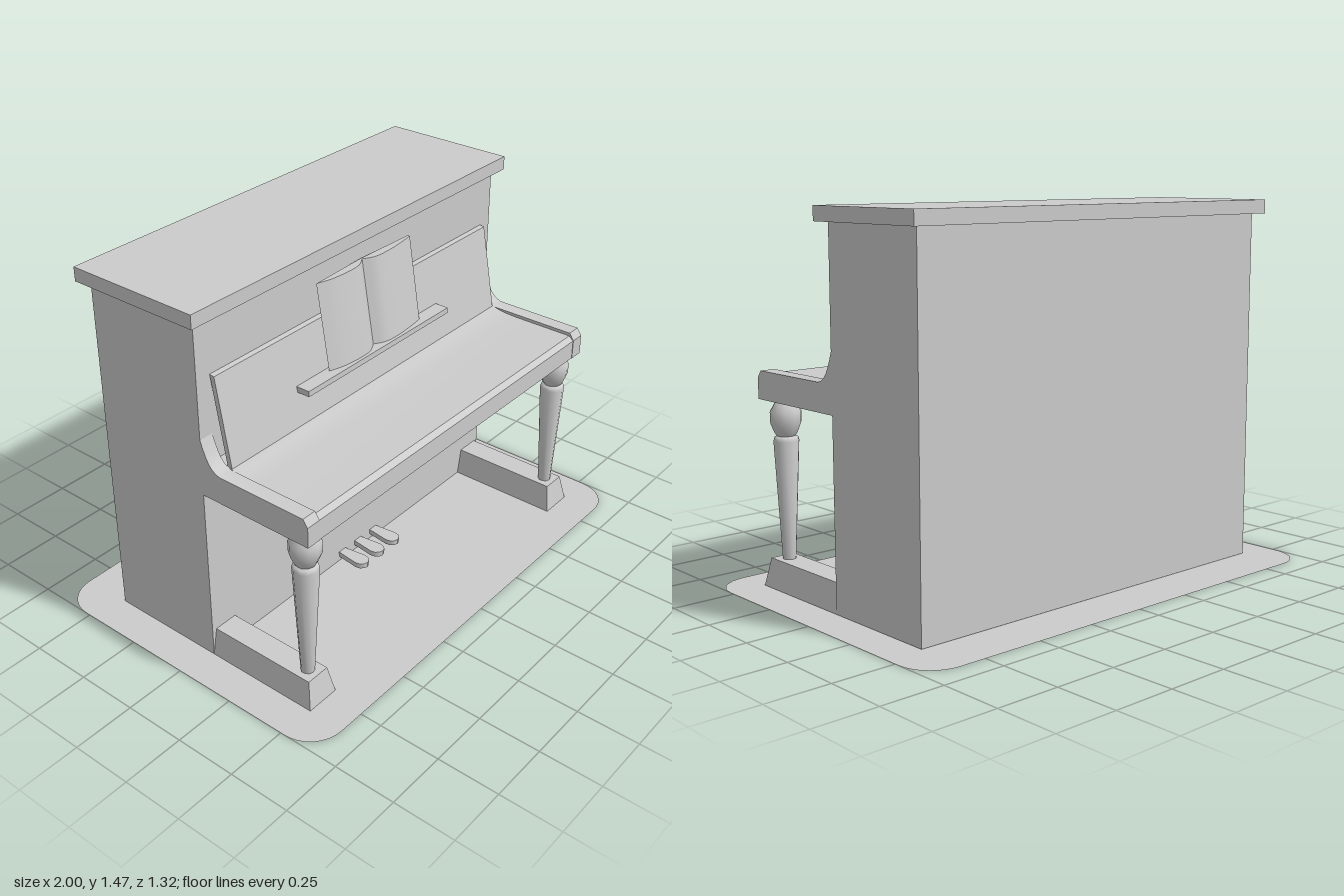
import * as THREE from 'three';
import { toCreasedNormals } from 'three/addons/utils/BufferGeometryUtils.js';

const grey = new THREE.MeshStandardMaterial({ color: 0xcccccc });
const greyThin = new THREE.MeshStandardMaterial({ color: 0xcccccc, side: THREE.DoubleSide });

export function createModel() {
  const piano = new THREE.Group();
  piano.name = 'uprightPiano';

  const add = (name, geometry, material = grey) => {
    const mesh = new THREE.Mesh(geometry, material);
    mesh.name = name;
    piano.add(mesh);
    return mesh;
  };

  // Box given by its extents along each axis
  const box = (name, x0, x1, y0, y1, z0, z1) =>
    add(name, new THREE.BoxGeometry(x1 - x0, y1 - y0, z1 - z0)
      .translate((x0 + x1) / 2, (y0 + y1) / 2, (z0 + z1) / 2));

  // Side profile of (z, y) points swept across x
  const sweepX = (name, shape, x0, x1) => {
    const geo = new THREE.ExtrudeGeometry(shape, { depth: x1 - x0, bevelEnabled: false, curveSegments: 6 });
    geo.rotateY(-Math.PI / 2).translate(x1, 0, 0);
    return add(name, toCreasedNormals(geo, 0.6));
  };
  const profile = (pts) => new THREE.Shape(pts.map(([z, y]) => new THREE.Vector2(z, y)));

  // Floor mat with rounded corners
  const X = 1, Z = 0.66, R = 0.14;
  const mat = new THREE.Shape();
  mat.absarc(X - R, Z - R, R, 0, Math.PI / 2);
  mat.absarc(R - X, Z - R, R, Math.PI / 2, Math.PI);
  mat.absarc(R - X, R - Z, R, Math.PI, Math.PI * 1.5);
  mat.absarc(X - R, R - Z, R, Math.PI * 1.5, Math.PI * 2);
  add('floorMat', new THREE.ShapeGeometry(mat, 4).rotateX(-Math.PI / 2), greyThin);

  // Case and top lid
  box('case', -0.855, 0.855, 0.002, 1.41, -0.455, 0.035);
  box('topLid', -0.893, 0.893, 1.41, 1.465, -0.49, 0.07);

  // Key bed with closed fallboard, rising slightly towards the back
  sweepX('keyBed', profile([[0.02, 0.73], [0.515, 0.73], [0.515, 0.81], [0.495, 0.827],
    [0.24, 0.827], [0.19, 0.829], [0.15, 0.834], [0.11, 0.845], [0.02, 0.845]]), -0.795, 0.795);

  // Leaning front panel
  sweepX('frontPanel', profile([[0.1, 0.838], [0.12, 0.84], [0.056, 1.187], [0.036, 1.19]]), -0.792, 0.792);

  // Music shelf
  box('musicShelf', -0.42, 0.42, 0.97, 0.993, 0.075, 0.15);

  // Open music book: a wavy page section, sheared to lean back
  const pageLine = [[-0.262, 0.008], [-0.2, 0.026], [-0.12, 0.034], [-0.05, 0.03], [0, 0.005],
    [0.05, 0.03], [0.12, 0.034], [0.2, 0.028], [0.272, 0.018]];
  const book = new THREE.Shape();
  book.moveTo(-0.262, 0.008);
  book.splineThru(pageLine.slice(1, 5).map(([x, z]) => new THREE.Vector2(x, z)));
  book.splineThru(pageLine.slice(5).map(([x, z]) => new THREE.Vector2(x, z)));
  book.lineTo(0.272, 0.008);
  book.lineTo(0, -0.002);
  const bookGeo = new THREE.ExtrudeGeometry(book, { depth: 0.337, bevelEnabled: false, curveSegments: 5 });
  const p = bookGeo.attributes.position;
  for (let i = 0; i < p.count; i++) {
    const x = p.getX(i), z = p.getY(i), h = p.getZ(i);
    p.setXYZ(i, x, 0.993 + h, 0.103 + z - h * 0.167);
  }
  // Swapping two axes mirrors the faces, so turn the corners round
  for (let i = 0; i < p.count; i += 3) {
    const a = new THREE.Vector3().fromBufferAttribute(p, i + 1);
    const b = new THREE.Vector3().fromBufferAttribute(p, i + 2);
    p.setXYZ(i + 1, b.x, b.y, b.z);
    p.setXYZ(i + 2, a.x, a.y, a.z);
  }
  bookGeo.deleteAttribute('uv');
  add('musicBook', toCreasedNormals(bookGeo, 0.7), greyThin);

  // Cheek profile with a sweeping curve up to the case
  const cheek = profile([[0.02, 0.73], [0.517, 0.73], [0.517, 0.812], [0.497, 0.84], [0.12, 0.84]]);
  cheek.bezierCurveTo(0.075, 0.85, 0.06, 0.885, 0.035, 0.957);
  cheek.lineTo(0.02, 0.957);

  // Turned leg
  const legPoints = [[0, 0.11], [0.026, 0.11], [0.05, 0.572], [0.047, 0.585], [0.036, 0.592],
    [0.045, 0.605], [0.06, 0.642], [0.061, 0.685], [0.045, 0.712], [0.03, 0.732]]
    .map(([r, y]) => new THREE.Vector2(r, y));

  for (const side of [-1, 1]) {
    const label = side > 0 ? 'left' : 'right';
    const cx = side * 0.825;
    sweepX(label + 'Cheek', cheek, cx - 0.03, cx + 0.03);

    const leg = new THREE.LatheGeometry(legPoints, 10);
    add(label + 'Leg', toCreasedNormals(leg, 0.9)).position.set(side * 0.785, 0, 0.442);

    // Foot block, narrower at the top and sloped in front
    const foot = new THREE.BoxGeometry(1, 1, 1);
    const f = foot.attributes.position;
    for (let i = 0; i < f.count; i++) {
      const top = f.getY(i) > 0;
      f.setXYZ(i, side * 0.785 + f.getX(i) * (top ? 0.1 : 0.14), top ? 0.112 : 0.002,
        f.getZ(i) < 0 ? 0.02 : top ? 0.49 : 0.512);
    }
    foot.computeVertexNormals();
    add(label + 'Foot', foot);
  }

  // Three pedals, wide and rounded at the tip
  const pedal = new THREE.Shape();
  pedal.moveTo(-0.018, 0.02);
  pedal.lineTo(0.018, 0.02);
  pedal.lineTo(0.032, 0.13);
  pedal.quadraticCurveTo(0.03, 0.165, 0, 0.168);
  pedal.quadraticCurveTo(-0.03, 0.165, -0.032, 0.13);
  for (const x of [-0.1, 0, 0.1]) {
    const geo = new THREE.ExtrudeGeometry(pedal, { depth: 0.022, bevelEnabled: false, curveSegments: 3 });
    geo.rotateX(Math.PI / 2).translate(x, 0.045, 0);
    add('pedal', toCreasedNormals(geo, 0.6));
  }

  return piano;
}
